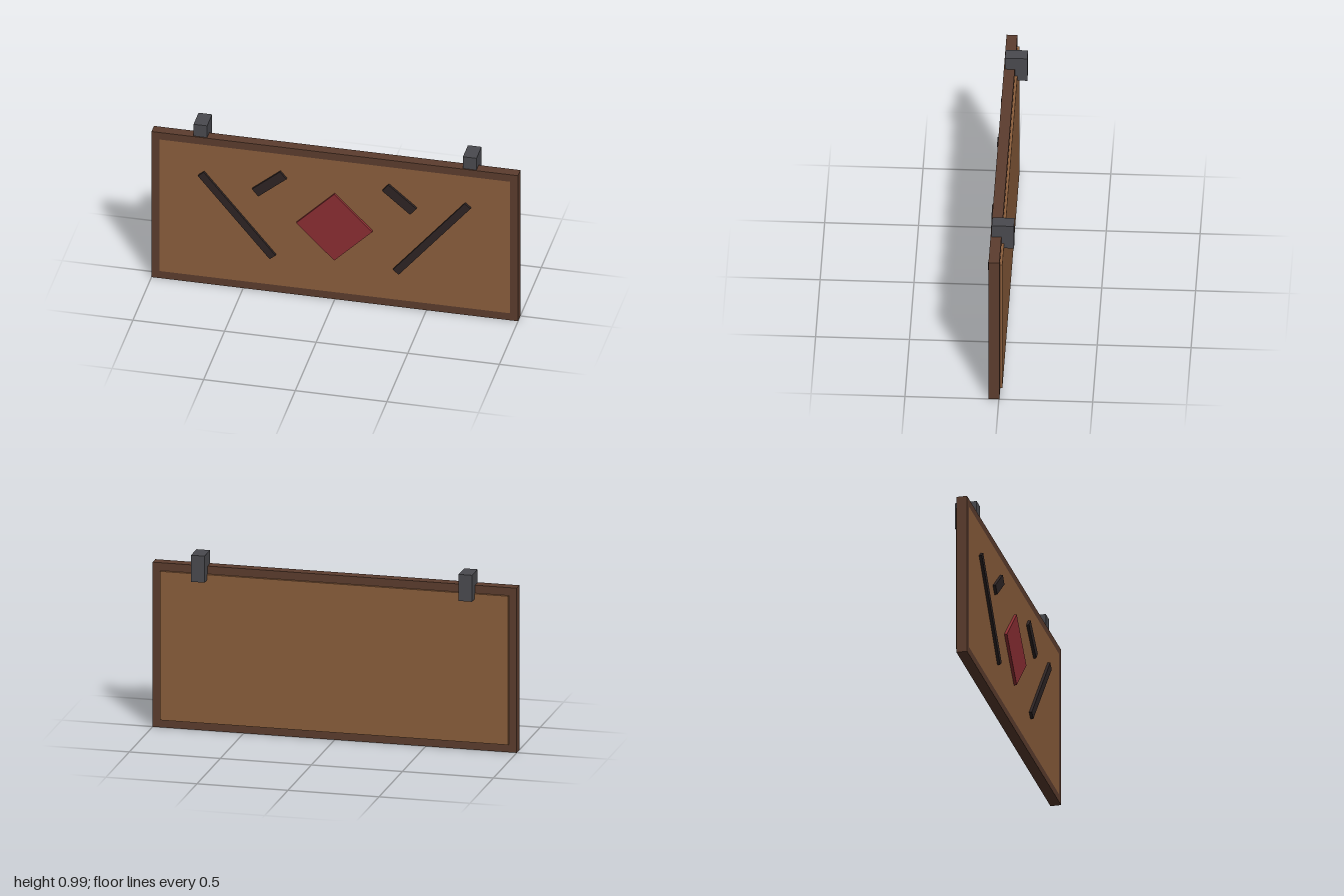
import * as THREE from 'three';

const material = (name, color) => {
  const m = new THREE.MeshStandardMaterial({ color });
  m.name = name;
  return m;
};

export function createModel() {
  const frameWood = material('dark wood', 0x5c3d2e);
  const panelWood = material('light wood', 0x8b5e3c);
  const ink = material('black paint', 0x2d2424);
  const red = material('red paint', 0x8b2e33);
  const iron = material('iron', 0x4a4a4f);

  const board = new THREE.Group();
  board.name = 'hangingSign';

  const box = (name, mat, size, pos, angle = 0) => {
    const mesh = new THREE.Mesh(new THREE.BoxGeometry(...size), mat);
    mesh.name = name;
    mesh.position.set(...pos);
    mesh.rotation.z = THREE.MathUtils.degToRad(angle);
    board.add(mesh);
  };

  const rectangle = (target, halfWidth, bottom, top) => {
    target.moveTo(-halfWidth, bottom);
    target.lineTo(halfWidth, bottom);
    target.lineTo(halfWidth, top);
    target.lineTo(-halfWidth, top);
    target.closePath();
    return target;
  };

  // Rectangular frame with an opening for the panel
  const outline = rectangle(new THREE.Shape(), 1, 0, 0.912);
  outline.holes.push(rectangle(new THREE.Path(), 0.957, 0.044, 0.868));
  const frame = new THREE.Mesh(
    new THREE.ExtrudeGeometry(outline, { depth: 0.058, bevelEnabled: false }), frameWood);
  frame.name = 'frame';
  frame.position.z = -0.003;
  board.add(frame);

  // Panel, flush at the front and standing proud at the back
  box('panel', panelWood, [1.914, 0.824, 0.072], [0, 0.456, 0.019]);

  // Raised emblem
  box('diamond', red, [0.293, 0.293, 0.02], [0, 0.458, 0.06], 45);

  // Mirrored strokes and hanging brackets
  for (const [side, s] of [['left', 1], ['right', -1]]) {
    box(side + 'LongStroke', ink, [0.61, 0.042, 0.02], [s * 0.532, 0.458, 0.06], s * 50);
    box(side + 'ShortStroke', ink, [0.2, 0.054, 0.02], [s * 0.355, 0.68, 0.06], s * -40);
    box(side + 'Bracket', iron, [0.074, 0.147, 0.119], [s * 0.735, 0.912, -0.0105]);
  }

  return board;
}
